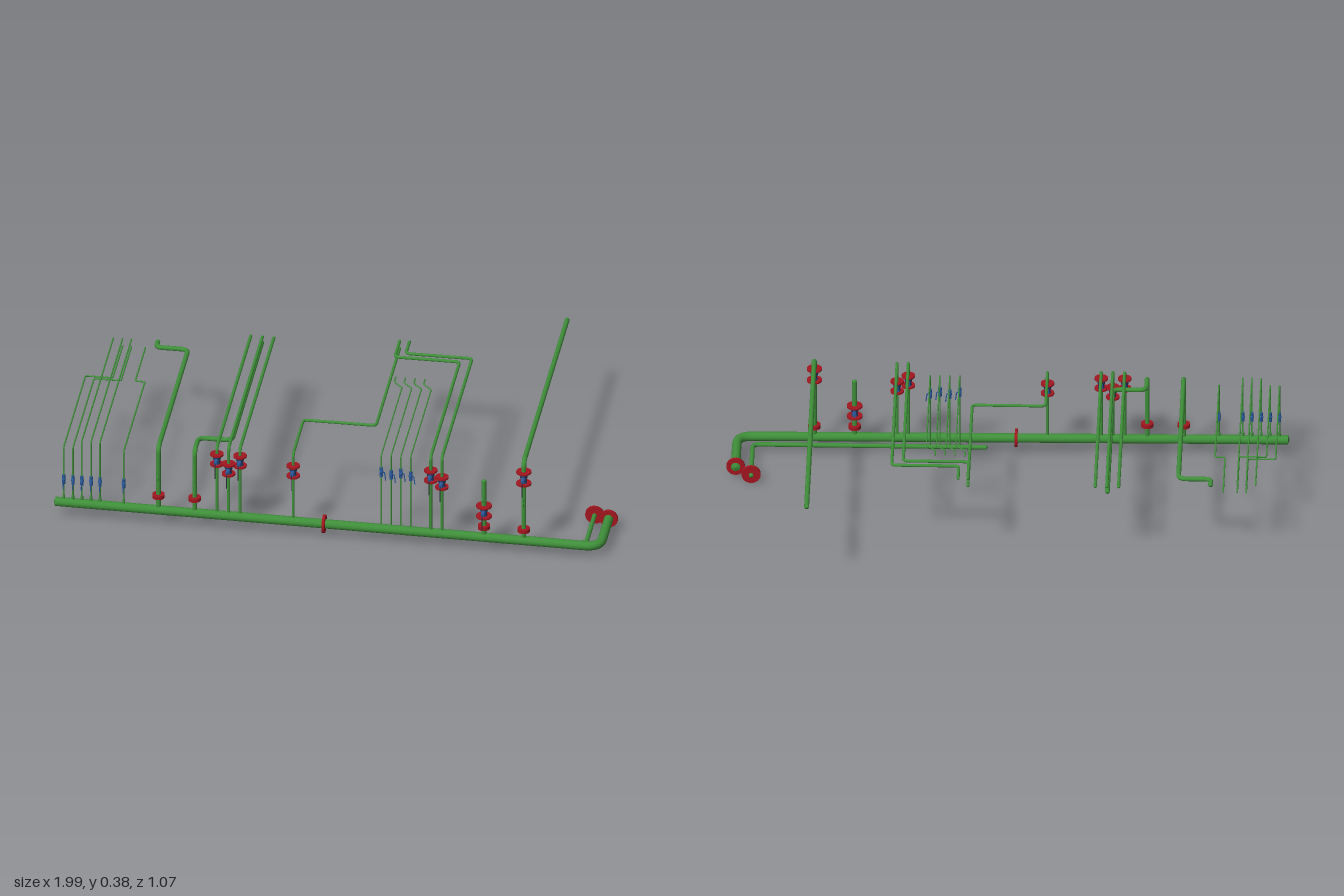
import * as THREE from 'three';

const mat = (color) => new THREE.MeshStandardMaterial({ color });
const GREEN = mat(0x3f8f3a), RED = mat(0xa3161f), BLUE = mat(0x2a5a9c), NAVY = mat(0x27406e), DARK = mat(0x2b2d3a);
const V = (x, y, z) => new THREE.Vector3(x, y, z);
const Z0 = 0.49; // depth of the main header
const mainY = (x) => 0.053 - 0.0085 * x;

// Polyline with rounded elbows, sampled only at the elbows
class PipePath extends THREE.Curve {
  constructor(pts, bend) {
    super();
    this.p = [];
    this.t = [];
    const add = (p, t) => { this.p.push(p); this.t.push(t.clone().normalize()); };
    const n = pts.length - 1;
    add(pts[0], pts[1].clone().sub(pts[0]));
    for (let i = 1; i < n; i++) {
      const a = pts[i - 1].clone().sub(pts[i]), b = pts[i + 1].clone().sub(pts[i]);
      const r = Math.min(bend, a.length() * 0.48, b.length() * 0.48);
      const c = new THREE.QuadraticBezierCurve3(
        pts[i].clone().addScaledVector(a.normalize(), r), pts[i],
        pts[i].clone().addScaledVector(b.normalize(), r));
      for (let k = 0; k <= 6; k++) add(c.getPoint(k / 6), c.getTangent(k / 6));
    }
    add(pts[n], pts[n].clone().sub(pts[n - 1]));
  }
  index(u) { return Math.round(u * (this.p.length - 1)); }
  getPointAt(u, target = V(0, 0, 0)) { return target.copy(this.p[this.index(u)]); }
  getTangentAt(u, target = V(0, 0, 0)) { return target.copy(this.t[this.index(u)]); }
}

function mesh(parent, name, geometry, material, x = 0, y = 0, z = 0) {
  const m = new THREE.Mesh(geometry, material);
  m.name = name;
  m.position.set(x, y, z);
  parent.add(m);
  return m;
}

// Pipe through corner points, closed with shallow pointed ends
function pipe(parent, name, coords, r, bend = r * 3.2, material = GREEN) {
  const path = new PipePath(coords.map((c) => V(...c)), bend);
  const g = new THREE.Group();
  g.name = name;
  parent.add(g);
  const n = path.p.length - 1, h = Math.min(r * 0.9, 0.006);
  mesh(g, 'pipeWall', new THREE.TubeGeometry(path, n, r, 16, false), material);
  for (const [i, s] of [[0, -1], [n, 1]]) {
    const out = path.t[i].clone().multiplyScalar(s);
    const cap = mesh(g, 'pipeEnd', new THREE.ConeGeometry(r, h, 16), material);
    cap.position.copy(path.p[i]).addScaledVector(out, h / 2);
    cap.quaternion.setFromUnitVectors(V(0, 1, 0), out);
  }
  return g;
}

// Disc flange, its axis along y, x or z
function flange(parent, x, y, z, r, h, axis = 'y') {
  const m = mesh(parent, 'flange', new THREE.CylinderGeometry(r, r, h, 24), RED, x, y, z);
  if (axis === 'x') m.rotation.z = Math.PI / 2;
  if (axis === 'z') m.rotation.x = Math.PI / 2;
}

// Flanged valve with an hourglass body, front stem and hanging lever
function valve(parent, x, y, s, r) {
  const g = new THREE.Group();
  g.name = 'flangedValve';
  g.position.set(x, y, Z0);
  parent.add(g);
  const profile = [[0.012, -1], [0.012, -0.7], [0.009, -0.45], [0.013, 0], [0.015, 0.45], [0.017, 0.8], [0.012, 1]];
  mesh(g, 'valveBody', new THREE.LatheGeometry(
    profile.map(([pr, h]) => new THREE.Vector2(pr, h * s)), 20), NAVY);
  for (const k of [-1, 1]) flange(g, 0, k * s, 0, r, 0.006);
  const stem = mesh(g, 'valveStem', new THREE.CylinderGeometry(0.006, 0.009, 0.034, 12), BLUE, 0, 0, 0.019);
  stem.rotation.x = Math.PI / 2;
  pipe(g, 'lever', [[0, 0, 0.03], [0, 0, 0.046], [0, -0.055, 0.046]], 0.0016, 0.008, DARK);
  const back = mesh(g, 'rearBoss', new THREE.CylinderGeometry(0.007, 0.007, 0.032, 12), BLUE, 0, 0, -0.018);
  back.rotation.x = Math.PI / 2;
}

// Small threaded ball valve for the thin lines, lever turned by an angle
function smallValve(parent, x, y, z, turn) {
  const g = new THREE.Group();
  g.name = 'smallValve';
  g.position.set(x, y, z);
  g.rotation.y = turn;
  parent.add(g);
  mesh(g, 'ballBody', new THREE.SphereGeometry(0.0075, 14, 10), BLUE);
  for (const k of [-1, 1]) mesh(g, 'endNut', new THREE.CylinderGeometry(0.0065, 0.0065, 0.012, 6), BLUE, 0, k * 0.012, 0);
  pipe(g, 'lever', [[0, 0, 0], [0, 0, 0.011], [0, -0.032, 0.015]], 0.002, 0.006, BLUE);
}

// Small drain tap on the front of a riser
function drainTap(parent, x, y) {
  const g = new THREE.Group();
  g.name = 'drainTap';
  g.position.set(x, y, Z0);
  parent.add(g);
  pipe(g, 'tapSpout', [[0, 0, 0], [0, 0, 0.02], [0, -0.014, 0.02]], 0.003, 0.008);
  mesh(g, 'tapHandle', new THREE.BoxGeometry(0.004, 0.014, 0.004), GREEN, 0, 0.006, 0.014);
}

export function createModel() {
  const model = new THREE.Group();
  model.name = 'pipeManifold';

  // Main header and lower return header, both turning back at the right end
  pipe(model, 'mainHeader', [[-0.99, mainY(-0.99), Z0], [0.966, mainY(0.966), Z0], [0.966, 0.044, 0.278]], 0.0168, 0.055);
  flange(model, -0.025, mainY(-0.025), Z0, 0.033, 0.01, 'x');
  flange(model, 0.966, 0.044, 0.284, 0.033, 0.01, 'z');
  pipe(model, 'returnHeader', [[0.08, 0.035, 0.453], [0.91, 0.034, 0.453], [0.91, 0.034, 0.236]], 0.008, 0.025);
  flange(model, 0.91, 0.034, 0.248, 0.034, 0.01, 'z');

  // Riser from the main header, then a run of [x, z] corners at its top height
  const riser = (name, x, top, r, run) =>
    pipe(model, name, [[x, mainY(x), Z0], [x, top, Z0], ...run.map(([px, pz]) => [px, top, pz])], r);

  // Thin lines at the left
  const thin = [
    [-0.96, 0.287, [[-0.96, -0.02], [-0.862, -0.02], [-0.862, -0.25]]],
    [-0.927, 0.287, [[-0.927, -0.005], [-0.83, -0.005], [-0.83, -0.25]]],
    [-0.895, 0.317, [[-0.895, -0.25]]],
    [-0.862, 0.317, [[-0.862, -0.25]]],
    [-0.83, 0.317, [[-0.83, -0.25]]],
    [-0.745, 0.287, [[-0.745, -0.01], [-0.78, -0.01], [-0.78, -0.25]]],
  ];
  for (const [x, top, run] of thin) {
    riser('thinLine', x, top, 0.0028, run);
    smallValve(model, x, 0.155, Z0, 0);
    mesh(model, 'lineSocket', new THREE.CylinderGeometry(0.005, 0.005, 0.02, 12), GREEN, x, mainY(x) + 0.02, Z0);
  }

  // Thin lines from the return header, each with a slanted jog
  for (let i = 0; i < 4; i++) {
    const x = 0.175 + i * 0.035, h = 0.332;
    pipe(model, 'returnLine', [[x, 0.035, 0.453], [x, h, 0.453], [x, h, -0.03],
      [x - 0.033, h, -0.065], [x - 0.033, h, -0.1]], 0.0024);
    smallValve(model, x, 0.262 - (i % 2) * 0.008, 0.453, Math.PI / 2);
  }

  // Medium and large risers
  const lines = [
    [-0.62, 0.316, 0.0085, [[-0.62, -0.21], [-0.735, -0.21], [-0.735, -0.25]]],
    [-0.49, 0.314, 0.0085, [[-0.49, 0.4], [-0.37, 0.4], [-0.37, -0.303]]],
    [-0.41, 0.336, 0.0058, [[-0.41, -0.305]]],
    [-0.368, 0.336, 0.0058, [[-0.368, -0.305]]],
    [-0.327, 0.336, 0.0058, [[-0.327, -0.305]]],
    [-0.136, 0.332, 0.0052, [[-0.136, 0.25], [0.125, 0.25], [0.125, -0.305]]],
    [0.358, 0.362, 0.0055, [[0.358, -0.19], [0.125, -0.19], [0.125, -0.305]]],
    [0.398, 0.362, 0.0055, [[0.398, -0.22], [0.16, -0.22], [0.16, -0.305]]],
    [0.692, 0.37, 0.0088, [[0.692, -0.53]]],
  ];
  for (const [x, top, r, run] of lines) riser('riserLine', x, top, r, run);
  riser('cappedRiser', 0.549, 0.28, 0.0088, []);

  // Flanged valves: x, y, half height, flange radius
  for (const v of [[-0.41, 0.285, 0.02, 0.024], [-0.368, 0.249, 0.02, 0.024], [-0.327, 0.285, 0.02, 0.024],
    [-0.136, 0.261, 0.02, 0.024], [0.358, 0.285, 0.02, 0.024], [0.398, 0.261, 0.02, 0.024],
    [0.549, 0.156, 0.021, 0.028], [0.692, 0.305, 0.023, 0.027]]) valve(model, ...v);

  // Flange pairs low on the large risers
  for (const [x, y] of [[-0.62, 0.117], [-0.49, 0.117], [0.549, 0.092], [0.692, 0.092]]) {
    for (const k of [-1, 1]) flange(model, x, y + k * 0.0035, Z0, 0.022, 0.0068);
  }
  for (const [x, y] of [[-0.62, 0.205], [-0.49, 0.205], [-0.368, 0.18], [0.549, 0.215], [0.692, 0.21]]) drainTap(model, x, y);

  return model;
}
